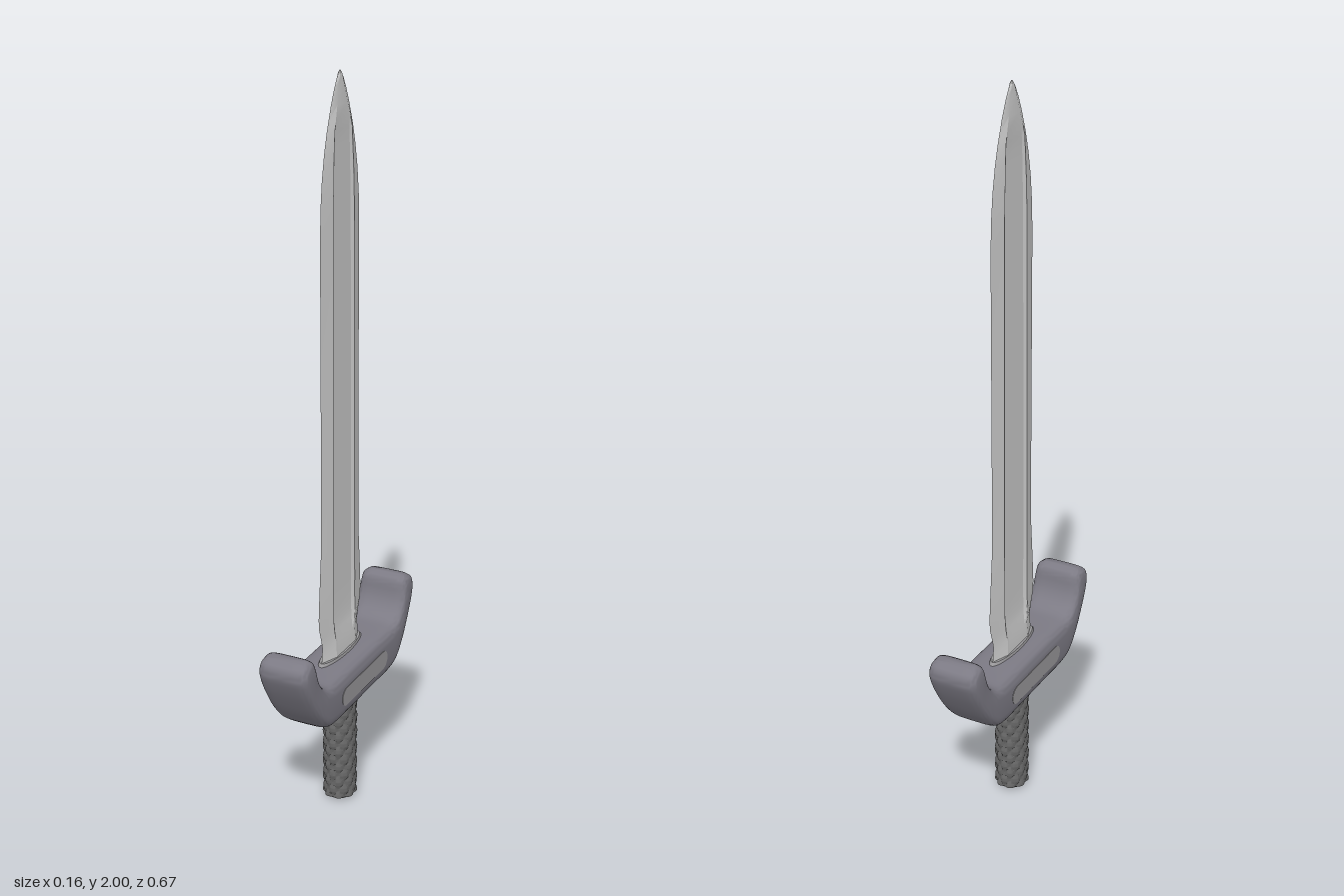
import * as THREE from 'three';
import { toCreasedNormals } from 'three/addons/utils/BufferGeometryUtils.js';

// Joins equal-length rings of [x, y, z] points and closes both ends with fans.
function loft(rings, crease) {
  const n = rings[0].length, pos = [], idx = [];
  rings.forEach(r => r.forEach(p => pos.push(...p)));
  for (let i = 0; i < rings.length - 1; i++) {
    for (let j = 0; j < n; j++) {
      const a = i * n + j, b = i * n + (j + 1) % n;
      idx.push(a, b, b + n, a, b + n, a + n);
    }
  }
  [0, rings.length - 1].forEach(i => {
    const c = pos.length / 3;
    pos.push(...[0, 1, 2].map(k => rings[i].reduce((s, p) => s + p[k], 0) / n));
    for (let j = 0; j < n; j++) {
      const a = i * n + j, b = i * n + (j + 1) % n;
      if (i === 0) idx.push(c, b, a); else idx.push(c, a, b);
    }
  });
  const g = new THREE.BufferGeometry();
  g.setAttribute('position', new THREE.Float32BufferAttribute(pos, 3));
  g.setIndex(idx);
  return toCreasedNormals(g, crease);
}

// Edge, ridge and sunken fuller at each height.
function bladeGeometry() {
  // y, half width, ridge depth, fuller half width, fuller depth
  const stations = [
    [0.43, 0.112, 0.021, 0.06, 0.021], [0.465, 0.108, 0.019, 0.057, 0.019],
    [0.50, 0.104, 0.017, 0.055, 0.016], [0.53, 0.112, 0.015, 0.06, 0.01],
    [0.56, 0.122, 0.014, 0.063, 0.008], [0.59, 0.125, 0.013, 0.063, 0.007],
    [0.65, 0.121, 0.013, 0.063, 0.007], [0.78, 0.11, 0.012, 0.063, 0.007],
    [1.0, 0.108, 0.012, 0.062, 0.007], [1.6, 0.108, 0.011, 0.058, 0.006],
    [1.68, 0.105, 0.011, 0.057, 0.006], [1.75, 0.097, 0.011, 0.054, 0.006],
    [1.81, 0.085, 0.01, 0.051, 0.006], [1.86, 0.071, 0.01, 0.047, 0.006],
    [1.885, 0.062, 0.009, 0.04, 0.008], [1.92, 0.049, 0.007, 0.028, 0.007],
    [1.955, 0.033, 0.005, 0.018, 0.005], [1.98, 0.019, 0.004, 0.01, 0.004],
    [1.993, 0.009, 0.003, 0.005, 0.003], [2.0, 0.001, 0.001, 0.0005, 0.001],
  ];
  return loft(stations.map(([y, w, t, f, d]) => {
    const side = [[t, f], [d, f * 0.82], [d, -f * 0.82], [t, -f]];
    return [[0, y, w], ...side.map(([x, z]) => [x, y, z]),
      [0, y, -w], ...side.map(([x, z]) => [-x, y, -z])];
  }), 0.35);
}

// Rounded-square section swept through the bar and its upturned arms.
function guardGeometry() {
  // top z, top y, bottom z, bottom y, half thickness in x
  const half = [
    [0.09, 0.45, 0.09, 0.315, 0.077], [0.165, 0.449, 0.16, 0.315, 0.077],
    [0.205, 0.452, 0.205, 0.325, 0.077], [0.235, 0.469, 0.25, 0.37, 0.076],
    [0.253, 0.495, 0.295, 0.435, 0.074], [0.261, 0.522, 0.323, 0.485, 0.073],
    [0.264, 0.54, 0.336, 0.52, 0.071], [0.272, 0.556, 0.332, 0.545, 0.066],
    [0.286, 0.564, 0.316, 0.559, 0.052],
  ];
  const mirrored = half.map(([a, b, c, d, e]) => [-a, b, -c, d, e]).reverse();
  const stations = [...mirrored, [0, 0.45, 0, 0.315, 0.077], ...half];
  const curve = pick => new THREE.CatmullRomCurve3(stations.map(s => new THREE.Vector3(...pick(s))));
  const top = curve(s => [s[4], s[0], s[1]]), bottom = curve(s => [s[4], s[2], s[3]]);
  const rings = [], steps = (stations.length - 1) * 3, around = 40;
  const round = v => Math.sign(v) * Math.pow(Math.abs(v), 0.45);
  for (let i = 0; i <= steps; i++) {
    const a = top.getPoint(i / steps), b = bottom.getPoint(i / steps), ring = [];
    for (let j = 0; j < around; j++) {
      const t = j / around * Math.PI * 2, k = (1 + round(Math.sin(t))) / 2;
      ring.push([a.x * round(Math.cos(t)), b.z + (a.z - b.z) * k, b.y + (a.y - b.y) * k]);
    }
    rings.push(ring);
  }
  return loft(rings, 1.2);
}

// Grip wrapped in a staggered diamond weave.
function gripGeometry() {
  const rings = [], rows = 84, around = 72;
  const ring = (y, radius) => Array.from({ length: around }, (_, j) => {
    const a = j / around * Math.PI * 2, r = radius(a);
    return [Math.sin(a) * r * 0.94, y, Math.cos(a) * r];
  });
  rings.push(ring(0, () => 0.026), ring(0.005, () => 0.04));
  for (let i = 0; i <= rows; i++) {
    const v = i / rows;
    rings.push(ring(0.01 + v * 0.285, a => {
      const u = a / Math.PI * 4, w = v * 6;
      const weave = Math.abs(Math.sin(Math.PI * (u + w)) * Math.sin(Math.PI * (u - w)));
      return 0.043 + 0.0075 * Math.sqrt(weave);
    }));
  }
  rings.push(ring(0.3, () => 0.04), ring(0.33, () => 0.04));
  return loft(rings, 0.9);
}

export function createModel() {
  const model = new THREE.Group();
  const steel = new THREE.MeshStandardMaterial({ color: 0xcccccc });
  const dark = new THREE.MeshStandardMaterial({ color: 0x7c7a84 });
  const wrap = new THREE.MeshStandardMaterial({ color: 0x666666 });
  const inlayMaterial = new THREE.MeshStandardMaterial({ color: 0x99989a });
  const add = (name, geometry, material) => {
    const mesh = new THREE.Mesh(geometry, material);
    mesh.name = name;
    model.add(mesh);
    return mesh;
  };

  add('blade', bladeGeometry(), steel);
  add('guard', guardGeometry(), dark);
  add('grip', gripGeometry(), wrap);

  // Low oval seat where the blade enters the guard
  const collar = add('bladeCollar', new THREE.CylinderGeometry(0.9, 1, 0.012, 40), inlayMaterial);
  collar.scale.set(0.029, 1, 0.122);
  collar.position.y = 0.451;

  // Long rounded inlay on each broad face of the guard
  const oval = new THREE.Shape();
  oval.absarc(0.113, 0, 0.026, -Math.PI / 2, Math.PI / 2);
  oval.absarc(-0.113, 0, 0.026, Math.PI / 2, Math.PI * 1.5);
  for (const side of [1, -1]) {
    const inlay = add(side > 0 ? 'leftInlay' : 'rightInlay',
      new THREE.ExtrudeGeometry(oval, { depth: 0.004, bevelEnabled: false, curveSegments: 12 }), inlayMaterial);
    inlay.rotation.y = side * Math.PI / 2;
    inlay.position.set(side * 0.074, 0.381, 0);
  }
  return model;
}
